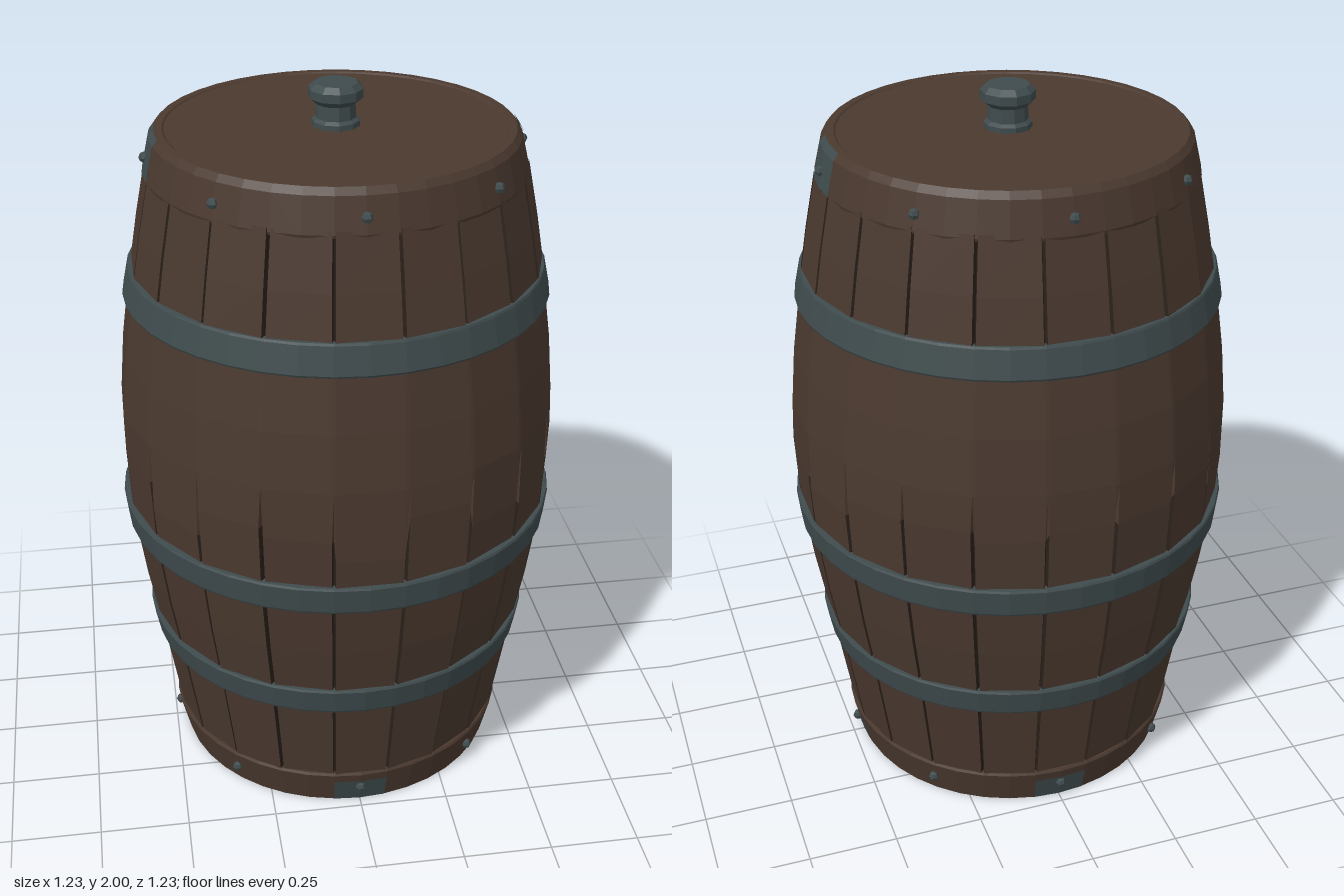
import * as THREE from 'three';

const mat = (name, color) => {
  const m = new THREE.MeshStandardMaterial({ color, flatShading: true });
  m.name = name;
  return m;
};

export function createModel() {
  const wood = mat('brown wood', 0x4a392f);
  const groove = mat('dark groove', 0x2b211b);
  const iron = mat('blue grey iron', 0x3f4b4d);
  const barrel = new THREE.Group();
  barrel.name = 'barrel';

  const add = (name, geometry, material) => {
    const mesh = new THREE.Mesh(geometry, material);
    mesh.name = name;
    barrel.add(mesh);
    return mesh;
  };
  const lathe = (points, sides = 40, start = 0, length = Math.PI * 2) =>
    new THREE.LatheGeometry(points.map(([r, y]) => new THREE.Vector2(r, y)), sides, start, length);

  let seed = 7;
  const rand = () => {
    seed = (seed * 16807) % 2147483647;
    return seed / 2147483647;
  };

  // Staves: rings of [y, radius, groove depth]; the grooves fade out above the belly
  const rings = [
    [0.09, 0.483, 0.014], [0.4, 0.535, 0.014], [0.6, 0.572, 0.014], [0.8, 0.6, 0.014],
    [0.98, 0.61, 0.012], [1.12, 0.608, 0], [1.28, 0.594, 0], [1.45, 0.57, 0],
    [1.5, 0.562, 0.014], [1.64, 0.538, 0.014], [1.79, 0.508, 0.014],
  ];
  const staves = 20, step = (Math.PI * 2) / staves, gap = 0.009;
  const positions = [], woodFaces = [], grooveFaces = [];
  const perRing = staves * 3;
  const fade = Array.from({ length: staves }, () => (rand() - 0.5) * 0.16);
  const bulge = Array.from({ length: staves }, () => (rand() - 0.5) * 0.006);
  rings.forEach(([y, r, depth], j) => {
    for (let s = 0; s < staves; s++) {
      const mid = s * step;
      const yy = j === 4 ? y + fade[s] * 0.8 : y;
      const soft = depth > 0 ? bulge[s] : 0;
      [[mid - step / 2 + gap, r + soft], [mid + step / 2 - gap, r + soft], [mid + step / 2, r - depth]]
        .forEach(([a, rad]) => positions.push(rad * Math.sin(a), yy, rad * Math.cos(a)));
    }
    if (j === rings.length - 1) return;
    for (let i = 0; i < perRing; i++) {
      const a = j * perRing + i, b = j * perRing + (i + 1) % perRing;
      const dark = i % 3 !== 0 && depth > 0 && rings[j + 1][2] > 0;
      (dark ? grooveFaces : woodFaces).push(a, b, b + perRing, a, b + perRing, a + perRing);
    }
  });
  const body = new THREE.BufferGeometry();
  body.setAttribute('position', new THREE.Float32BufferAttribute(positions, 3));
  body.setIndex([...woodFaces, ...grooveFaces]);
  body.addGroup(0, woodFaces.length, 0);
  body.addGroup(woodFaces.length, grooveFaces.length, 1);
  body.computeVertexNormals();
  add('staves', body, [wood, groove]);

  // Wooden end rims with a recessed base and a flat lid
  add('bottomRim', lathe([[0, 0.012], [0.445, 0.012], [0.45, 0], [0.466, 0], [0.492, 0.105], [0.488, 0.112], [0.46, 0.112]]), wood);
  add('topRimAndLid', lathe([[0.48, 1.772], [0.508, 1.772], [0.51, 1.78], [0.488, 1.872], [0.474, 1.89],
    [0.455, 1.89], [0.45, 1.886], [0, 1.886]]), wood);

  // Iron bands: [bottom y, bottom radius, top y, top radius]
  [[0.375, 0.541, 0.458, 0.555], [0.753, 0.606, 0.836, 0.614], [1.435, 0.583, 1.522, 0.567]]
    .forEach(([y0, r0, y1, r1], i) => {
      add('ironBand' + (i + 1), lathe([[r0 - 0.03, y0], [r0 - 0.003, y0], [r0, y0 + 0.006],
        [r1, y1 - 0.006], [r1 - 0.003, y1], [r1 - 0.03, y1]]), iron);
    });

  // Thin iron plates wrapped on the rims
  const plate = (name, points, angle) =>
    add(name, lathe(points, 2, angle - Math.PI / 20, Math.PI / 10), iron);
  for (let k = 0; k < 4; k++) {
    const angle = k * Math.PI / 2;
    plate('bottomPlate', [[0.468, 0.001], [0.489, 0.08]], angle);
    if (k % 2) plate('topPlate', [[0.512, 1.78], [0.491, 1.872], [0.477, 1.891]], angle);
  }

  // Rivets around both rims
  const rivet = new THREE.SphereGeometry(0.015, 6, 4);
  for (let k = 0; k < 8; k++) {
    const a = k * Math.PI / 4;
    [['bottomRivet', 0.485, 0.058], ['topRivet', 0.503, 1.822]].forEach(([name, r, y]) =>
      add(name, rivet, iron).position.set(r * Math.sin(a), y, r * Math.cos(a)));
  }

  // Lid knob
  add('lidKnob', lathe([[0.064, 1.884], [0.064, 1.9], [0.054, 1.908], [0.052, 1.945], [0.073, 1.962],
    [0.073, 1.985], [0.058, 2], [0, 2]], 10), iron);

  return barrel;
}
